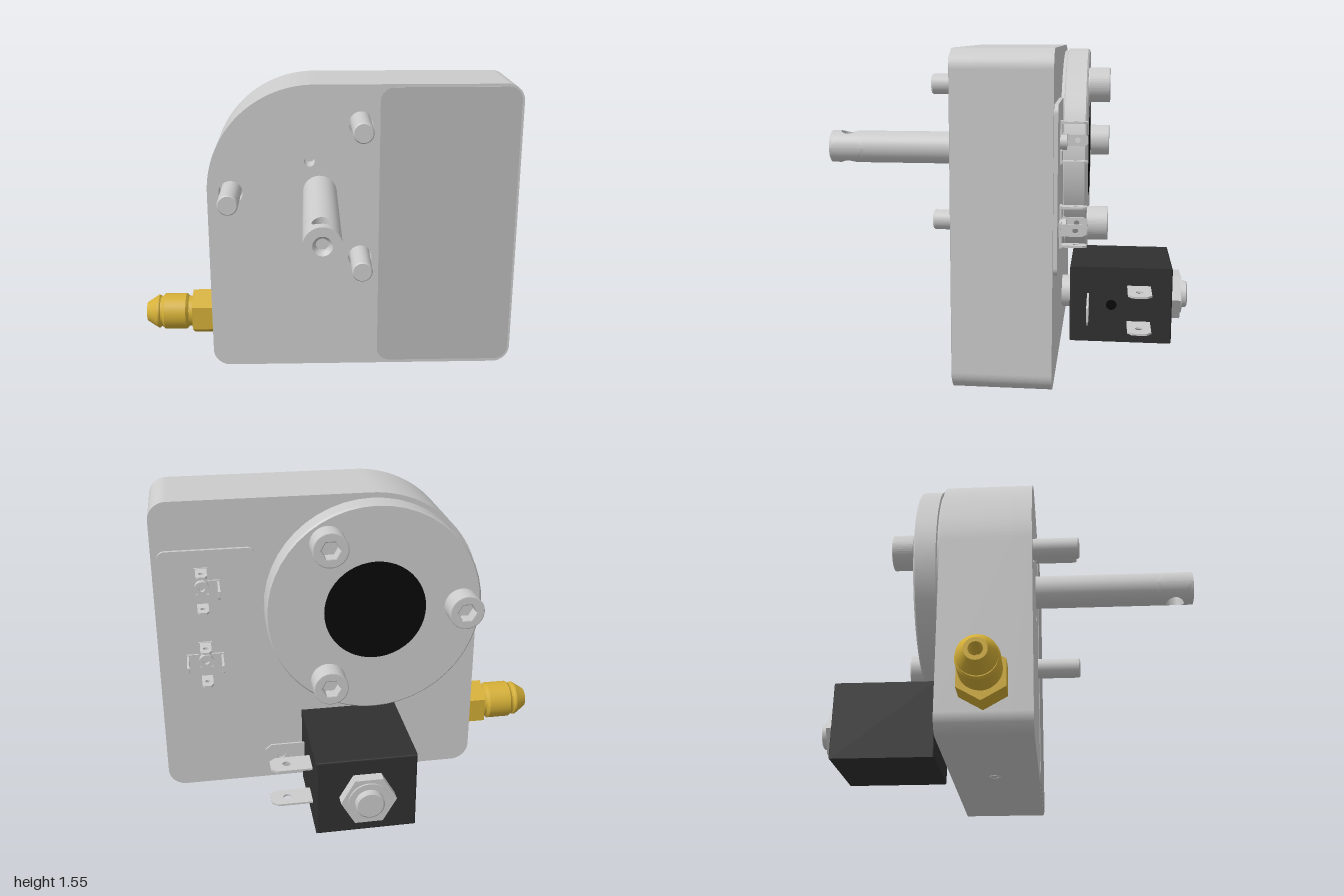
import * as THREE from 'three';

const grey = new THREE.MeshStandardMaterial({ color: 0xcccccc });
const panelGrey = new THREE.MeshStandardMaterial({ color: 0xb8b8b8 });
const black = new THREE.MeshStandardMaterial({ color: 0x303030 });
const dark = new THREE.MeshStandardMaterial({ color: 0x080808 });
const brass = new THREE.MeshStandardMaterial({ color: 0xd4af37 });
const AXIS_Y = 0.985, BACK = -0.305, FRONT = 0.147, FLANGE = -0.435;

function add(parent, name, geometry, material = grey, x = 0, y = 0, z = 0) {
  const mesh = new THREE.Mesh(geometry, material);
  mesh.name = name;
  mesh.position.set(x, y, z);
  parent.add(mesh);
  return mesh;
}

// Rectangle with its own radius at each corner: bottom left, bottom right, top right, top left
function roundedRect(x0, x1, y0, y1, [bl, br, tr, tl]) {
  const s = new THREE.Shape();
  s.absarc(x0 + bl, y0 + bl, bl, Math.PI, Math.PI * 1.5);
  s.absarc(x1 - br, y0 + br, br, Math.PI * 1.5, Math.PI * 2);
  s.absarc(x1 - tr, y1 - tr, tr, 0, Math.PI / 2);
  s.absarc(x0 + tl, y1 - tl, tl, Math.PI / 2, Math.PI);
  s.closePath();
  return s;
}

const circlePath = (x, y, r) => new THREE.Path().absarc(x, y, r, 0, Math.PI * 2, true);

const extrude = (shape, depth) =>
  new THREE.ExtrudeGeometry(shape, { depth, bevelEnabled: false, curveSegments: 24 });

// Turned part along z from straight profile segments, keeping each edge sharp
function turned(parent, name, points, material, x, y, z, flip = false) {
  const group = new THREE.Group();
  group.name = name;
  for (let i = 0; i + 1 < points.length; i++) {
    const pair = [points[i], points[i + 1]].map(([r, h]) => new THREE.Vector2(r, h));
    add(group, name + 'Surface', new THREE.LatheGeometry(pair, 48), material);
  }
  group.rotation.x = flip ? -Math.PI / 2 : Math.PI / 2;
  group.position.set(x, y, z);
  parent.add(group);
  return group;
}

// Half a shaft wall pierced by a cross hole: rings run from the bore to the edge of the half wall
function piercedHalf(R, r, L) {
  const n = 64, rings = 10, pos = [], idx = [];
  const ring = (f) => {
    for (let i = 0; i < n; i++) {
      const a = i / n * Math.PI * 2, c = Math.cos(a), s = Math.sin(a);
      const m = Math.max(Math.abs(c), Math.abs(s));
      const hole = Math.asin(r * c / R);
      const t = THREE.MathUtils.lerp(hole, c / m * Math.PI / 2, Math.max(f, 0));
      const z = THREE.MathUtils.lerp(r * s, s / m * L, Math.max(f, 0));
      pos.push(R * Math.sin(t), f < 0 ? 0 : R * Math.cos(t), z);
    }
  };
  ring(-1);
  ring(0);
  for (let k = 0; k <= rings; k++) ring(k / rings);
  for (let k = 0; k < rings + 2; k++) {
    if (k === 1) continue; // crease between bore and wall
    for (let i = 0; i < n; i++) {
      const j = (i + 1) % n, a = k * n + i, b = k * n + j;
      idx.push(a, b, a + n, b, b + n, a + n);
    }
  }
  const g = new THREE.BufferGeometry();
  g.setAttribute('position', new THREE.Float32BufferAttribute(pos, 3));
  g.setIndex(idx);
  g.computeVertexNormals();
  return g;
}

// Flat terminal blade with a hole, pointing along +x, thin along z
function blade(length, width, holeR) {
  const w = width / 2, s = new THREE.Shape();
  s.moveTo(0, -w);
  s.lineTo(length * 0.85, -w);
  s.lineTo(length, -w * 0.6);
  s.lineTo(length, w * 0.6);
  s.lineTo(length * 0.85, w);
  s.lineTo(0, w);
  s.holes.push(circlePath(length * 0.6, 0, holeR));
  return extrude(s, 0.01).translate(0, 0, -0.005);
}

export function createModel() {
  const model = new THREE.Group();
  model.name = 'pump';
  const unit = new THREE.Group();
  unit.name = 'pumpUnit';
  unit.rotation.y = -Math.PI / 12;
  model.add(unit);

  // Housing: solid rear, front layer with the pin and screw holes
  const bolts = [[-0.552, AXIS_Y], [0.122, AXIS_Y + 0.36], [0.122, AXIS_Y - 0.36]];
  const outline = () => roundedRect(-0.675, 0.952, 0, 1.545, [0.09, 0.09, 0.09, 0.56]);
  add(unit, 'housingRear', extrude(outline(), 0.352), grey, 0, 0, BACK);
  const frontShape = outline();
  for (const [x, y] of bolts) frontShape.holes.push(circlePath(x, y, 0.063));
  for (const y of [AXIS_Y - 0.165, AXIS_Y + 0.165]) frontShape.holes.push(circlePath(-0.142, y, 0.028));
  add(unit, 'housingFront', extrude(frontShape, 0.1), grey, 0, 0, 0.047);
  add(unit, 'frontPanel', extrude(roundedRect(0.22, 0.94, 0.018, 1.53, [0.07, 0.07, 0.07, 0.07]), 0.01), panelGrey, 0, 0, FRONT - 0.006);
  add(unit, 'drainHole', new THREE.TorusGeometry(0.025, 0.005, 8, 24).rotateX(Math.PI / 2), grey, 0.05, 0, -0.08);

  // Round rear flange with dark opening
  turned(unit, 'flange', [[0.528, 0], [0.528, 0.015], [0.54, 0.02], [0.54, 0.122], [0.532, 0.13], [0, 0.13]], grey, -0.115, AXIS_Y, BACK, true);
  add(unit, 'flangeOpening', new THREE.CircleGeometry(0.255, 48).rotateY(Math.PI), dark, -0.115, AXIS_Y, FLANGE - 0.003);

  // Socket head bolts at the rear, their pins at the front
  const head = new THREE.Shape().absarc(0, 0, 0.082, 0, Math.PI * 2);
  const socket = new THREE.Path();
  for (let i = 0; i < 6; i++) {
    const a = -i * Math.PI / 3;
    socket[i ? 'lineTo' : 'moveTo'](0.052 * Math.cos(a), 0.052 * Math.sin(a));
  }
  socket.closePath();
  head.holes.push(socket);
  const headGeometry = new THREE.ExtrudeGeometry(head, {
    depth: 0.098, bevelThickness: 0.006, bevelSize: 0.006, bevelSegments: 2, curveSegments: 24,
  });
  for (const [x, y] of bolts) {
    add(unit, 'boltHead', headGeometry, grey, x, y, FLANGE - 0.104);
    add(unit, 'boltSocketFloor', new THREE.CircleGeometry(0.06, 24).rotateY(Math.PI), grey, x, y, FLANGE - 0.05);
    turned(unit, 'pin', [[0.053, 0], [0.053, 0.322], [0.047, 0.33], [0, 0.33]], grey, x, y, 0.047);
  }

  // Drive shaft with cross hole and centre bore in its end
  const shaft = new THREE.Group();
  shaft.name = 'shaft';
  shaft.position.set(-0.09, AXIS_Y, 0);
  unit.add(shaft);
  const R = 0.088, L = 0.096, END = 0.985;
  turned(shaft, 'shaftRod', [[R, FRONT], [R, END - 2 * L]], grey, 0, 0, 0);
  const half = piercedHalf(R, 0.047, L);
  add(shaft, 'shaftEndUpper', half, grey, 0, 0, END - L);
  add(shaft, 'shaftEndLower', half, grey, 0, 0, END - L).rotation.z = Math.PI;
  turned(shaft, 'shaftTip', [[R, END], [0.045, END], [0.03, END - 0.02], [0.03, END - 0.045], [0, END - 0.045]], grey, 0, 0, 0);

  // Terminal plate with two groups of blades
  add(unit, 'terminalPlate', extrude(roundedRect(0.455, 0.925, 0.54, 1.305, [0.04, 0.04, 0.04, 0.04]), 0.018), grey, 0, 0, BACK - 0.018);
  const smallBlade = blade(0.125, 0.055, 0.013).rotateY(Math.PI / 2); // now points to -z, thin in x
  const PLATE = BACK - 0.018;
  const terminals = [
    [1.12, [[-0.08, 0, 0], [0, 0.09, 1], [0, -0.09, 1]]],
    [0.73, [[-0.08, 0, 0], [0.09, 0, 0], [0, 0.09, 1], [0, -0.09, 1]]],
  ];
  for (const [y, blades] of terminals) {
    turned(unit, 'terminalBoss', [[0.035, 0], [0.035, 0.03], [0.015, 0.03], [0.015, 0.01], [0, 0.01]], grey, 0.72, y, PLATE, true);
    for (const [dx, dy, turn] of blades) {
      const b = add(unit, 'terminalBlade', smallBlade, grey, 0.72 + dx, y + dy, PLATE);
      b.rotation.z = turn * Math.PI / 2;
      const foot = new THREE.BoxGeometry(turn ? 0.065 : 0.06, turn ? 0.06 : 0.065, 0.012);
      add(unit, 'terminalFoot', foot, grey, 0.72 + dx * 0.75, y + dy * 0.75, PLATE - 0.004);
    }
  }

  // Solenoid coil on its stem, with nut, stud and blades
  const coilY = 0.22;
  const coil = new THREE.Shape([[-0.23, 0.03], [0.242, 0.03], [0.242, 0.41], [-0.23, 0.41]].map(([x, y]) => new THREE.Vector2(x, y)));
  add(unit, 'solenoidCoil', new THREE.ExtrudeGeometry(coil, {
    depth: 0.507, bevelThickness: 0.009, bevelSize: 0.009, bevelSegments: 3,
  }), black, 0, 0, -0.871);
  turned(unit, 'solenoidStem', [[0.085, 0], [0.085, 0.06]], grey, 0.005, coilY, BACK, true);
  const nut = new THREE.CylinderGeometry(0.135, 0.135, 0.055, 6).toNonIndexed();
  nut.computeVertexNormals();
  nut.rotateY(Math.PI / 2).rotateX(Math.PI / 2);
  add(unit, 'solenoidNut', nut, grey, 0.005, coilY, -0.906);
  turned(unit, 'solenoidStud', [[0.1, 0.93], [0.1, 0.942], [0.07, 0.942], [0.07, 0.966], [0.062, 0.972], [0, 0.972]], grey, 0.005, coilY, 0, true);
  const wide = blade(0.2, 0.12, 0.02);
  for (const y of [0.13, 0.32]) {
    add(unit, 'solenoidBlade', wide, grey, 0.25, y, -0.71).rotation.x = Math.PI / 2;
  }
  add(unit, 'solenoidEarthBlade', wide, grey, 0.25, coilY, -0.45);
  add(unit, 'solenoidScrewHole', new THREE.CircleGeometry(0.027, 24).rotateY(Math.PI / 2), dark, 0.253, coilY, -0.57);

  // Brass fitting on the side: hexagon and flared nipple with bore
  const fitting = new THREE.Group();
  fitting.name = 'brassFitting';
  fitting.position.set(-0.675, 0.225, -0.08);
  fitting.rotation.y = -Math.PI / 2;
  unit.add(fitting);
  const hex = new THREE.CylinderGeometry(0.13, 0.13, 0.125, 6).toNonIndexed();
  hex.computeVertexNormals();
  add(fitting, 'fittingHexagon', hex.rotateX(Math.PI / 2), brass, 0, 0, 0.0625);
  turned(fitting, 'fittingNipple', [[0.085, 0.12], [0.085, 0.15], [0.1, 0.165], [0.1, 0.285], [0.09, 0.297],
    [0.085, 0.297], [0.085, 0.308], [0.092, 0.315], [0.092, 0.325], [0.052, 0.385], [0.032, 0.385], [0.032, 0.25], [0, 0.25]], brass, 0, 0, 0);

  return model;
}
